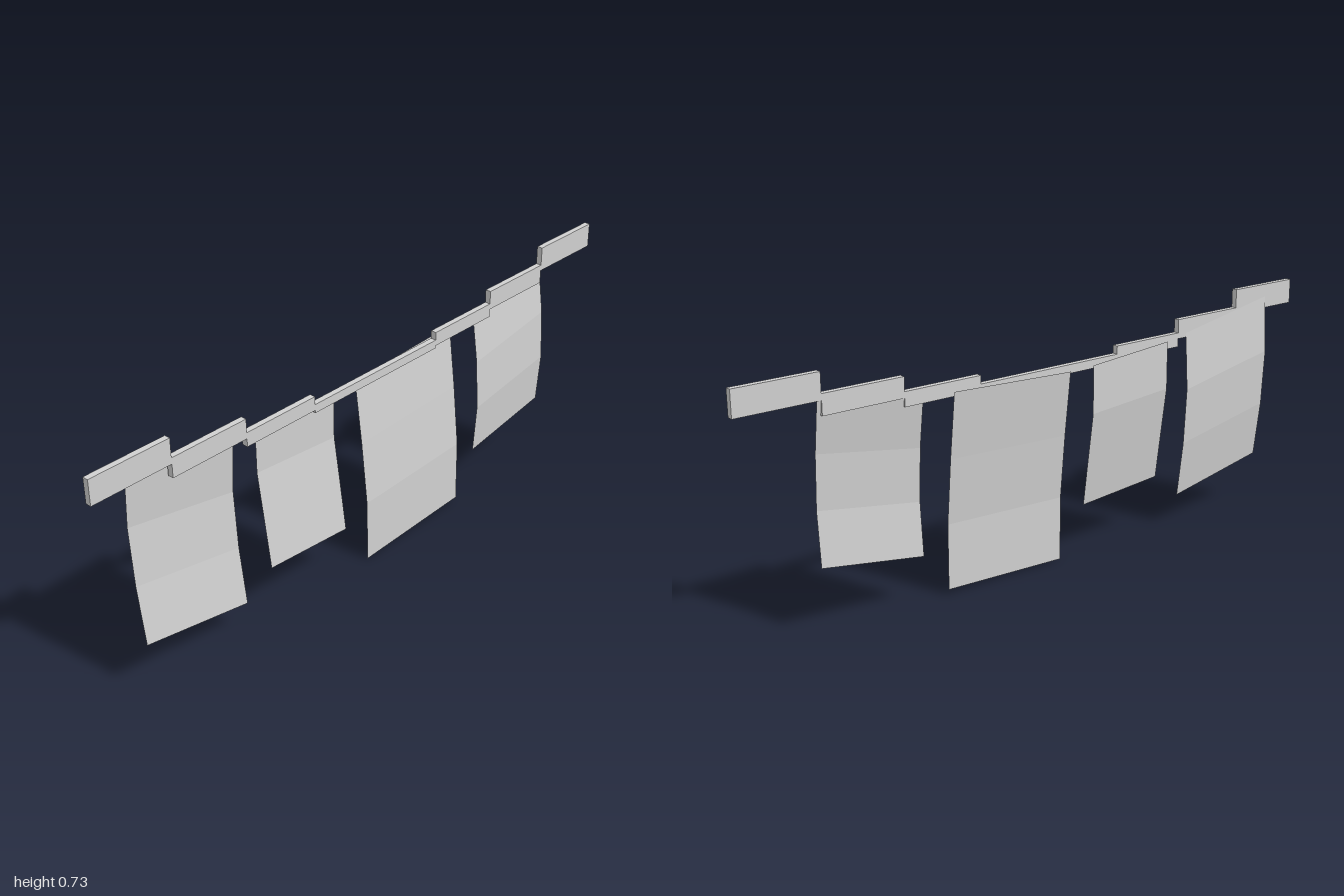
import * as THREE from 'three';

const grey = new THREE.MeshStandardMaterial({ color: 0xd0d0d0, flatShading: true, side: THREE.DoubleSide });
grey.name = 'light grey';

// height of the sagging line at x
const lineY = (x) => 0.587 + 0.131 * x * x;

// stepped line: one block per span, half thickness 0.009
function lineBlock(x0, x1) {
  const ys = [lineY(x0), lineY(x1)];
  const bottom = Math.min(...ys) - 0.009, top = Math.max(...ys) + 0.009;
  const mesh = new THREE.Mesh(new THREE.BoxGeometry(x1 - x0, top - bottom, 0.018), grey);
  mesh.position.set((x0 + x1) / 2, (top + bottom) / 2, 0);
  mesh.name = 'lineSegment';
  return mesh;
}

// hanging cloth: top follows the line, each row is pushed in z to billow
function cloth(x0, x1, length, rowZ) {
  const geo = new THREE.PlaneGeometry(1, 1, 1, 3);
  const p = geo.attributes.position;
  for (let i = 0; i < p.count; i++) {
    const row = Math.floor(i / 2), x = i % 2 ? x1 : x0;
    p.setXYZ(i, x, lineY(x) - (length * row) / 3, rowZ[row]);
  }
  geo.computeVertexNormals();
  const mesh = new THREE.Mesh(geo, grey);
  mesh.name = 'hangingCloth';
  return mesh;
}

export function createModel() {
  const model = new THREE.Group();
  model.name = 'clothesline';

  const line = new THREE.Group();
  line.name = 'line';
  for (let i = -4; i < 4; i++) line.add(lineBlock(i / 4, (i + 1) / 4));
  model.add(line);

  const cloths = new THREE.Group();
  cloths.name = 'cloths';
  cloths.add(
    cloth(-0.88, -0.53, 0.526, [-0.011, -0.023, -0.0135, 0.009]),
    cloth(-0.445, -0.148, 0.438, [-0.02, -0.0205, 0, 0.02]),
    cloth(-0.06, 0.35, 0.587, [-0.022, 0.002, 0.0215, 0.023]),
    cloth(0.44, 0.763, 0.468, [-0.008, 0.014, 0.0225, 0.011]),
  );
  model.add(cloths);
  return model;
}
